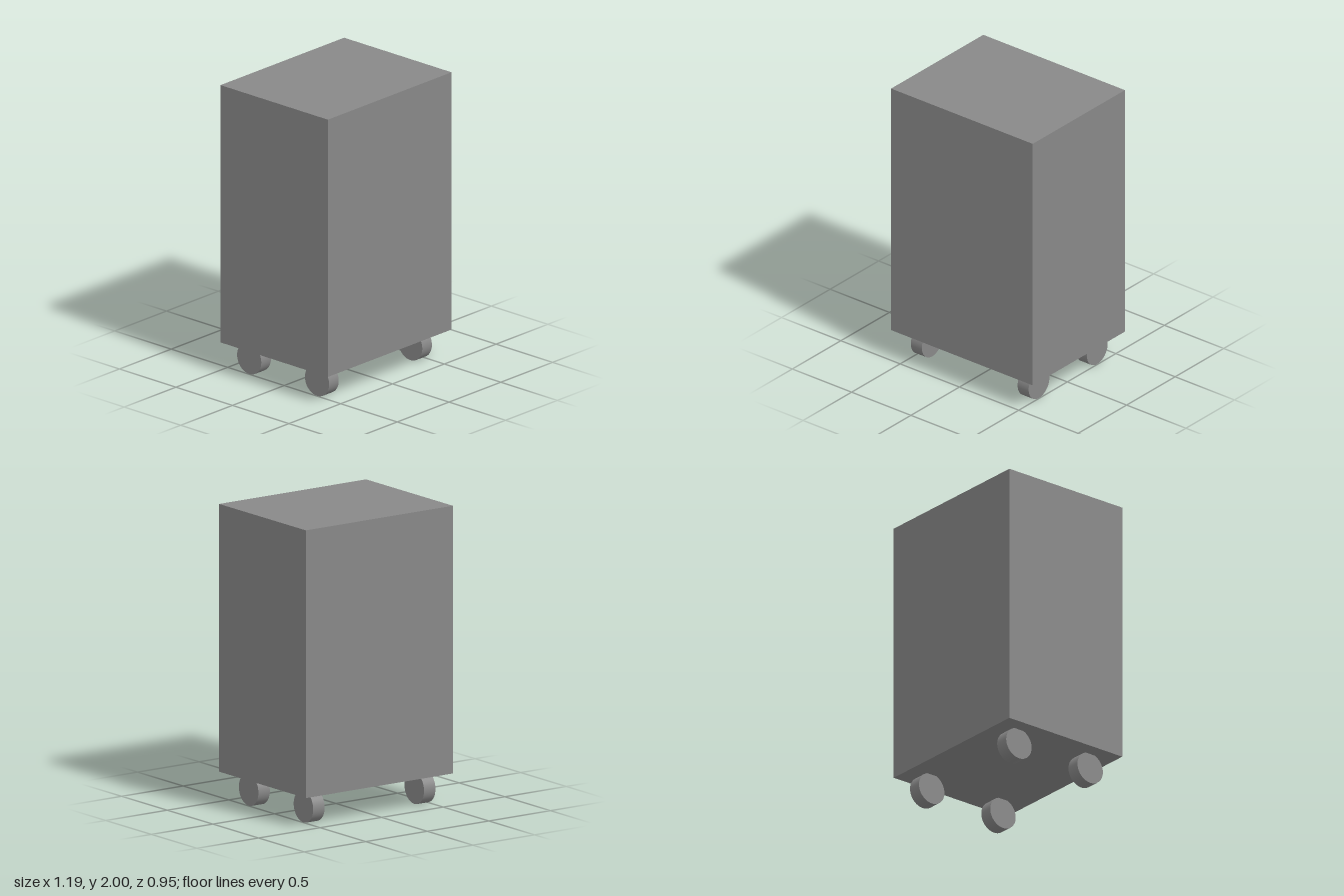
import * as THREE from 'three';

export function createModel() {
  const model = new THREE.Group();
  model.name = 'wheeledCabinet';
  const material = new THREE.MeshStandardMaterial({ color: 0x888888 });

  // Plain box body
  const bottom = 0.207, top = 2;
  const body = new THREE.Mesh(new THREE.BoxGeometry(1.194, top - bottom, 0.95), material);
  body.name = 'body';
  body.position.y = (top + bottom) / 2;
  model.add(body);

  // Four wheels under the body, axles along x
  const radius = 0.107;
  const wheelGeometry = new THREE.CylinderGeometry(radius, radius, 0.093, 48).rotateZ(Math.PI / 2);
  for (const [sideName, x] of [['Left', 0.45], ['Right', -0.45]]) {
    for (const [endName, z] of [['front', 0.287], ['back', -0.313]]) {
      const wheel = new THREE.Mesh(wheelGeometry, material);
      wheel.name = `${endName}${sideName}Wheel`;
      wheel.position.set(x, radius, z);
      model.add(wheel);
    }
  }
  return model;
}
